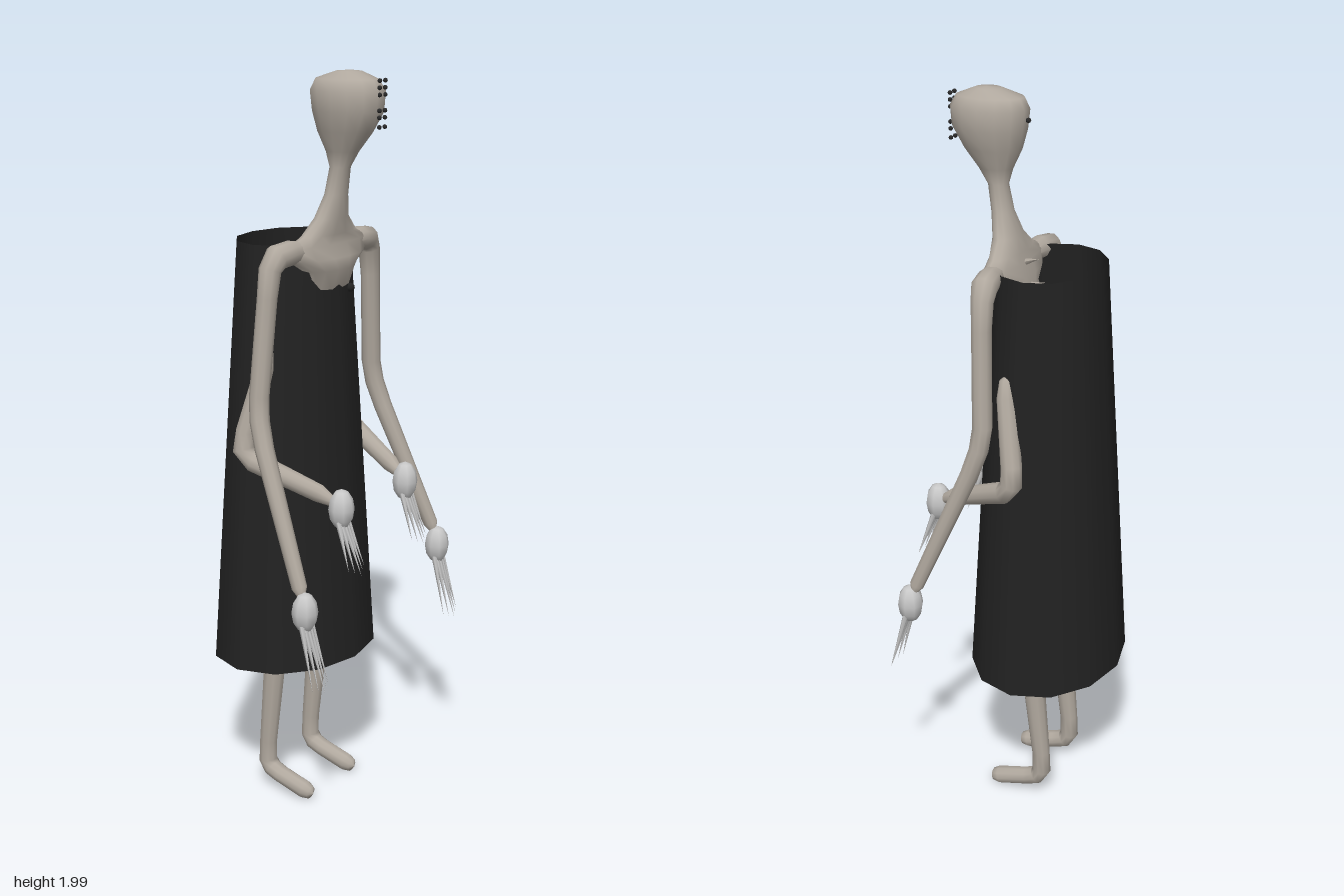
import * as THREE from 'three';

const skin = new THREE.MeshStandardMaterial({ color: 0xb0a89e });
skin.name = 'skin';
const pale = new THREE.MeshStandardMaterial({ color: 0xc8c8c8 });
pale.name = 'paleHand';
const cloth = new THREE.MeshStandardMaterial({ color: 0x222222, side: THREE.DoubleSide });
cloth.name = 'blackCloth';
const dark = new THREE.MeshStandardMaterial({ color: 0x2a2a2a });
dark.name = 'darkBead';

const X = new THREE.Vector3(1, 0, 0);
const Y = new THREE.Vector3(0, 1, 0);
const Z = new THREE.Vector3(0, 0, 1);

// Skin over elliptical rings [x, y, z, radiusU, radiusV]; ref sets the U axis.
function loft(rings, ref, sides, fixedDir) {
  const pos = [], index = [];
  const centres = rings.map((r) => new THREE.Vector3(r[0], r[1], r[2]));
  rings.forEach((r, i) => {
    const before = centres[Math.max(i - 1, 0)];
    const after = centres[Math.min(i + 1, rings.length - 1)];
    const t = fixedDir ? fixedDir.clone() : after.clone().sub(before).normalize();
    const u = ref.clone().addScaledVector(t, -ref.dot(t)).normalize();
    const v = t.clone().cross(u);
    for (let j = 0; j < sides; j++) {
      const a = (j / sides) * Math.PI * 2;
      const p = centres[i].clone()
        .addScaledVector(u, Math.cos(a) * r[3])
        .addScaledVector(v, Math.sin(a) * (r[4] ?? r[3]));
      pos.push(p.x, p.y, p.z);
      if (i < rings.length - 1) {
        const k = i * sides + j, n = i * sides + ((j + 1) % sides);
        index.push(k, n, k + sides, n, n + sides, k + sides);
      }
    }
  });
  const g = new THREE.BufferGeometry();
  g.setAttribute('position', new THREE.Float32BufferAttribute(pos, 3));
  g.setIndex(index);
  g.computeVertexNormals();
  return g;
}

function add(parent, name, geometry, material) {
  const m = new THREE.Mesh(geometry, material);
  m.name = name;
  parent.add(m);
  return m;
}

// Thin cone from a base point to a tip
function spike(parent, name, from, to, radius, material) {
  const a = new THREE.Vector3(...from), b = new THREE.Vector3(...to);
  const d = b.clone().sub(a);
  const m = add(parent, name, new THREE.ConeGeometry(radius, d.length(), 5), material);
  m.position.copy(a).add(b).multiplyScalar(0.5);
  m.quaternion.setFromUnitVectors(Y, d.normalize());
}

// Oval palm with five long claws
function hand(parent, name, x, y, z, drop) {
  const g = new THREE.Group();
  g.name = name;
  parent.add(g);
  const palm = add(g, 'palm', new THREE.SphereGeometry(1, 8, 6), pale);
  palm.scale.set(0.034, 0.054, 0.035);
  palm.position.set(x, y, z);
  for (let i = -2; i <= 2; i++) {
    const short = Math.abs(i) * 0.008;
    spike(g, 'claw', [x + i * 0.01, y - 0.03, z + 0.005],
      [x + i * 0.017, y - drop + short, z + 0.065 - short], 0.008, pale);
  }
}

export function createModel() {
  const model = new THREE.Group();

  // Head, neck and torso in one smooth skin, bottom to top: y, half width, half depth, z
  const body = [
    [0.68, 0, 0, -0.06], [0.72, 0.1, 0.035, -0.06], [0.8, 0.125, 0.042, -0.06],
    [0.95, 0.09, 0.04, -0.05], [1.1, 0.085, 0.04, -0.035], [1.3, 0.13, 0.045, -0.02],
    [1.44, 0.1, 0.052, 0.025], [1.5, 0.1, 0.055, 0.045], [1.53, 0.15, 0.05, 0.045],
    [1.565, 0.17, 0.037, 0.045], [1.59, 0.11, 0.036, 0.05], [1.63, 0.062, 0.034, 0.058],
    [1.69, 0.035, 0.028, 0.073], [1.76, 0.027, 0.027, 0.085], [1.8, 0.037, 0.046, 0.092],
    [1.85, 0.058, 0.078, 0.1], [1.9, 0.073, 0.1, 0.108], [1.95, 0.077, 0.105, 0.107],
    [1.978, 0.06, 0.09, 0.105], [1.997, 0.03, 0.035, 0.11], [2, 0, 0, 0.115],
  ].map(([y, rx, rz, z]) => [0, y, z, rx, rz]);
  add(model, 'headAndTorso', loft(body, X, 14, Y), skin);

  // Open tapered robe, oval in plan
  const robe = add(model, 'robe', new THREE.CylinderGeometry(0.175, 0.26, 1.14, 12, 1, true), cloth);
  robe.scale.z = 0.795;
  robe.position.set(0, 1.0, -0.063);
  const button = add(model, 'robeButton', new THREE.SphereGeometry(0.012, 8, 6), cloth);
  button.position.set(0.065, 1.44, 0.073);

  // Two clusters of tiny eyes on the face, and one bead behind the head
  for (const y of [1.977, 1.96, 1.943, 1.905, 1.888, 1.865]) {
    for (const x of [-0.012, 0.012]) {
      const eye = add(model, 'eye', new THREE.SphereGeometry(0.006, 6, 4), dark);
      eye.position.set(x, y, 0.211);
    }
  }
  const bead = add(model, 'rearBead', new THREE.SphereGeometry(0.007, 6, 4), dark);
  bead.position.set(0, 1.925, 0.002);

  // Row of spines down the back
  [[1.56, 0.012], [1.5, -0.005], [1.42, -0.02], [1.34, -0.05], [1.26, -0.06],
    [1.15, -0.07], [1.04, -0.075], [0.92, -0.095]].forEach(([y, z]) =>
    spike(model, 'backSpine', [0, y, z + 0.01], [0, y + 0.015, z - 0.04], 0.012, skin));

  for (const s of [-1, 1]) {
    const side = s > 0 ? 'left' : 'right';
    const limb = (name, pts, ref) =>
      add(model, side + name, loft(pts.map(([x, ...r]) => [x * s, ...r]), ref, 10), skin);

    // Long upper arm pair
    limb('UpperArm', [
      [0.08, 1.555, 0.045, 0.02], [0.15, 1.556, 0.04, 0.032], [0.195, 1.55, 0.032, 0.034],
      [0.217, 1.52, 0.027, 0.029], [0.227, 1.45, 0.025, 0.026], [0.25, 1.2, 0.015, 0.026],
      [0.258, 1.14, 0.022, 0.026], [0.268, 1.07, 0.045, 0.025],
      [0.308, 0.74, 0.185, 0.02], [0.312, 0.7, 0.2, 0]], Z);
    hand(model, side + 'UpperHand', 0.312 * s, 0.68, 0.205, 0.21);

    // Short bent lower arm pair
    limb('LowerShoulder', [
      [0, 1.29, -0.03, 0.03], [0.13, 1.29, -0.03, 0.03], [0.165, 1.29, -0.025, 0.024],
      [0.18, 1.285, -0.025, 0]], Z);
    limb('LowerArm', [
      [0.17, 1.32, -0.015, 0], [0.172, 1.305, -0.016, 0.018], [0.18, 1.26, -0.02, 0.026],
      [0.222, 1.09, -0.052, 0.028], [0.23, 1.045, -0.055, 0.029], [0.222, 1.015, -0.03, 0.029],
      [0.165, 0.945, 0.14, 0.024], [0.15, 0.92, 0.19, 0.01]], X);
    hand(model, side + 'LowerHand', 0.148 * s, 0.91, 0.2, 0.17);

    // Leg running into a bent foot
    limb('LegAndFoot', [
      [0.09, 0.8, -0.045, 0], [0.095, 0.76, -0.045, 0.04], [0.1, 0.43, -0.055, 0.032],
      [0.1, 0.15, -0.083, 0.025], [0.1, 0.09, -0.085, 0.026], [0.1, 0.067, -0.07, 0.026],
      [0.1, 0.055, -0.04, 0.025], [0.1, 0.033, 0.045, 0.025], [0.1, 0.029, 0.065, 0.018],
      [0.1, 0.028, 0.074, 0]], X);
  }
  return model;
}
